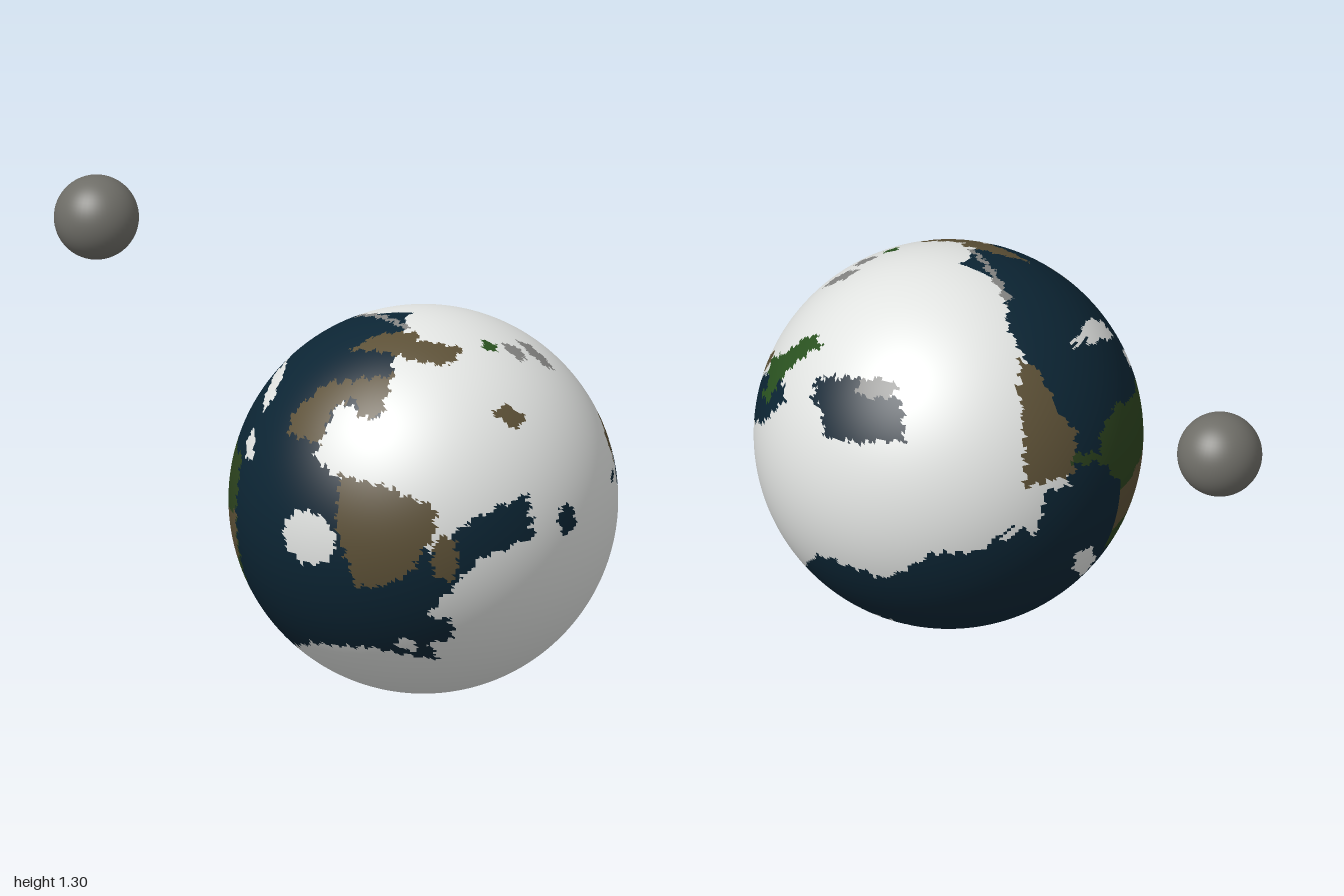
import * as THREE from 'three';

const WHITE = 0, OCEAN = 1, BROWN = 2, GREEN = 3, OLIVE = 4, GREY = 5;

// Flat map of one side of the globe, facing a given direction (degrees)
function chart(azimuth, elevation) {
  const a = THREE.MathUtils.degToRad(azimuth), e = THREE.MathUtils.degToRad(elevation);
  return {
    right: new THREE.Vector3(Math.cos(a), 0, -Math.sin(a)),
    up: new THREE.Vector3(-Math.sin(e) * Math.sin(a), Math.cos(e), -Math.sin(e) * Math.cos(a)),
    out: new THREE.Vector3(Math.cos(e) * Math.sin(a), Math.sin(e), Math.cos(e) * Math.cos(a)),
  };
}
const FRONT = chart(0, 0), EAST = chart(90, 0), NORTH = chart(0, 90);
const BACK = chart(215, 25), SOUTH = chart(145, -35);

// Painted regions, in percent of the radius; later ones cover earlier ones
const regions = [];

// Region inside a straight-sided outline of x, y pairs
function area(side, colour, p) {
  const covers = (x, y) => {
    let hit = false;
    for (let i = 0, j = p.length - 2; i < p.length; j = i, i += 2) {
      if ((p[i + 1] > y) !== (p[j + 1] > y) &&
        x < (p[j] - p[i]) * (y - p[i + 1]) / (p[j + 1] - p[i + 1]) + p[i]) hit = !hit;
    }
    return hit;
  };
  regions.push({ side, colour, covers });
}

// Oval region
function spot(side, colour, cx, cy, rx, ry) {
  regions.push({ side, colour, covers: (x, y) => Math.hypot((x - cx) / rx, (y - cy) / ry) < 1 });
}

// Oceans
area(FRONT, OCEAN, [6, 82, 7, 63, -18, 69, -26, 43, -7, 32, 22, 19, 39, 0, 58, 16, 80, 26, 83, 3, 63, -4, 46, -24,
  36, -37, 47, -38, 46, -50, 34, -53, 36, -64, 4, -57, -33, -61, -55, -73, -44, -90, -60, -105, -110, -60, -110, 50,
  -60, 105, -5, 103]);
area(NORTH, OCEAN, [-104, 32, -63, 21, -61, -4, -40, 7, -20, -11, 0, -24, -22, -37, 7, -43, -5, -52, -42, -75,
  -33, -100, -84, -77, -106, -22]);
area(BACK, OCEAN, [29, 96, 27, 60, 49, 18, 56, -22, 43, -24, 36, -54, -15, -54, -39, -68, -72, -56, -85, -75, 0, -106,
  60, -93, 104, -30, 95, 50, 60, 90]);
area(SOUTH, OCEAN, [20, -16, 51, 3, 78, 9, 98, 5, 110, -30, 60, -100, 30, -103, 37, -70, 49, -52, 38, -27]);

// Smaller seas
area(EAST, OCEAN, [29, 10, 42, 31, 63, 47, 74, 41, 70, 21, 51, 8]);
area(EAST, OCEAN, [72, 63, 92, 40, 81, 49]);
area(NORTH, OCEAN, [-22, 82, -6, 91, 12, 91, 37, 74, 12, 74, -11, 77]);
area(BACK, OCEAN, [-72, 34, -30, 26, -29, 5, -68, 6]);
spot(EAST, OCEAN, -35, 8, 6, 8);
spot(EAST, OCEAN, 20, 17, 5, 2);

// Brown land
area(FRONT, BROWN, [-46, 58, -29, 75, 6, 82, 7, 65, -3, 63, -12, 72, -22, 64, -23, 49, -45, 50]);
area(FRONT, BROWN, [-9, 37, 19, 32, 42, 23, 42, 9, 30, -11, 16, -20, 2, -21, -9, 12]);
area(EAST, BROWN, [28, 34, 41, 46, 43, 38, 32, 21]);
area(NORTH, BROWN, [-91, 37, -79, 52, -64, 39, -65, 24, -82, 28]);
area(NORTH, BROWN, [-24, -42, -12, -30, 8, -26, 10, -33, 33, -27, 31, -42, 15, -47]);
area(BACK, BROWN, [32, 48, 45, 23, 60, 6, 59, -15, 32, -22]);
spot(FRONT, BROWN, 47, -4, 6, 12);
spot(EAST, BROWN, -43, 62, 6, 5);

// Green and olive land
area(EAST, GREEN, [41, 41, 52, 54, 51, 69, 59, 71, 63, 49, 66, 31, 54, 28, 58, 36]);
spot(NORTH, GREEN, 42, -14, 4, 4);
spot(BACK, OLIVE, 65, -9, 9, 3);
area(BACK, OLIVE, [73, 2, 82, 16, 105, 18, 105, -20, 91, -33, 73, -11]);
area(FRONT, OLIVE, [-105, 29, -78, 29, -79, 0, -77, -57, -105, -30]);
area(FRONT, BROWN, [-105, -8, -79, 1, -80, -26, -96, -32]);

// Bare grey rock
area(NORTH, GREY, [-40, 8, 1, -22, 0, -26, -38, 2]);
spot(NORTH, GREY, 58, 10, 9, 5);
spot(NORTH, GREY, 52, -4, 6, 5);
spot(BACK, GREY, -42, 32, 10, 5);

// White islands
spot(FRONT, WHITE, -25, 2, 16, 14);
spot(FRONT, WHITE, -68, 63, 5, 9);
spot(FRONT, WHITE, -72, 36, 4, 7);
spot(FRONT, WHITE, 23, -54, 5, 4);
spot(BACK, WHITE, 65, -65, 6, 8);

// Colour number for a direction from the globe's centre, with ragged coasts
function colourAt(d) {
  for (let k = regions.length - 1; k >= 0; k--) {
    const { side, colour, covers } = regions[k];
    if (d.dot(side.out) < 0.04) continue;
    const x = 100 * d.dot(side.right), y = 100 * d.dot(side.up);
    if (covers(x + Math.sin(y * 0.9) + 0.6 * Math.sin(y * 2.3), y + Math.sin(x * 0.8) + 0.6 * Math.sin(x * 2.1))) {
      return colour;
    }
  }
  return WHITE;
}

// Sphere whose faces are sorted into one group per colour
function globeGeometry(radius) {
  const g = new THREE.SphereGeometry(radius, 300, 200);
  const pos = g.attributes.position, old = g.index.array;
  const faces = [[], [], [], [], [], []];
  const d = new THREE.Vector3(), v = new THREE.Vector3();
  for (let i = 0; i < old.length; i += 3) {
    d.set(0, 0, 0);
    for (let k = 0; k < 3; k++) d.add(v.fromBufferAttribute(pos, old[i + k]));
    faces[colourAt(d.normalize())].push(old[i], old[i + 1], old[i + 2]);
  }
  g.setIndex(faces.flat());
  let start = 0;
  faces.forEach((f, m) => {
    g.addGroup(start, f.length, m);
    start += f.length;
  });
  return g;
}

function paint(name, color) {
  const m = new THREE.MeshStandardMaterial({ color });
  m.name = name;
  return m;
}

export function createModel() {
  const model = new THREE.Group();
  model.name = 'planetAndMoon';

  const globe = new THREE.Mesh(globeGeometry(0.585), [
    paint('white', 0xe2e4e2), paint('oceanBlue', 0x0c2534), paint('brownLand', 0x5c5036),
    paint('greenLand', 0x2a5220), paint('oliveLand', 0x2c431e), paint('greyRock', 0x858583),
  ]);
  globe.name = 'planet';
  globe.position.set(0.415, 0.585, 0.06);

  const moon = new THREE.Mesh(new THREE.SphereGeometry(0.128, 48, 32), paint('moonGrey', 0x6e6d67));
  moon.name = 'moon';
  moon.position.set(-0.872, 1.175, -0.522);

  model.add(globe, moon);
  return model;
}
